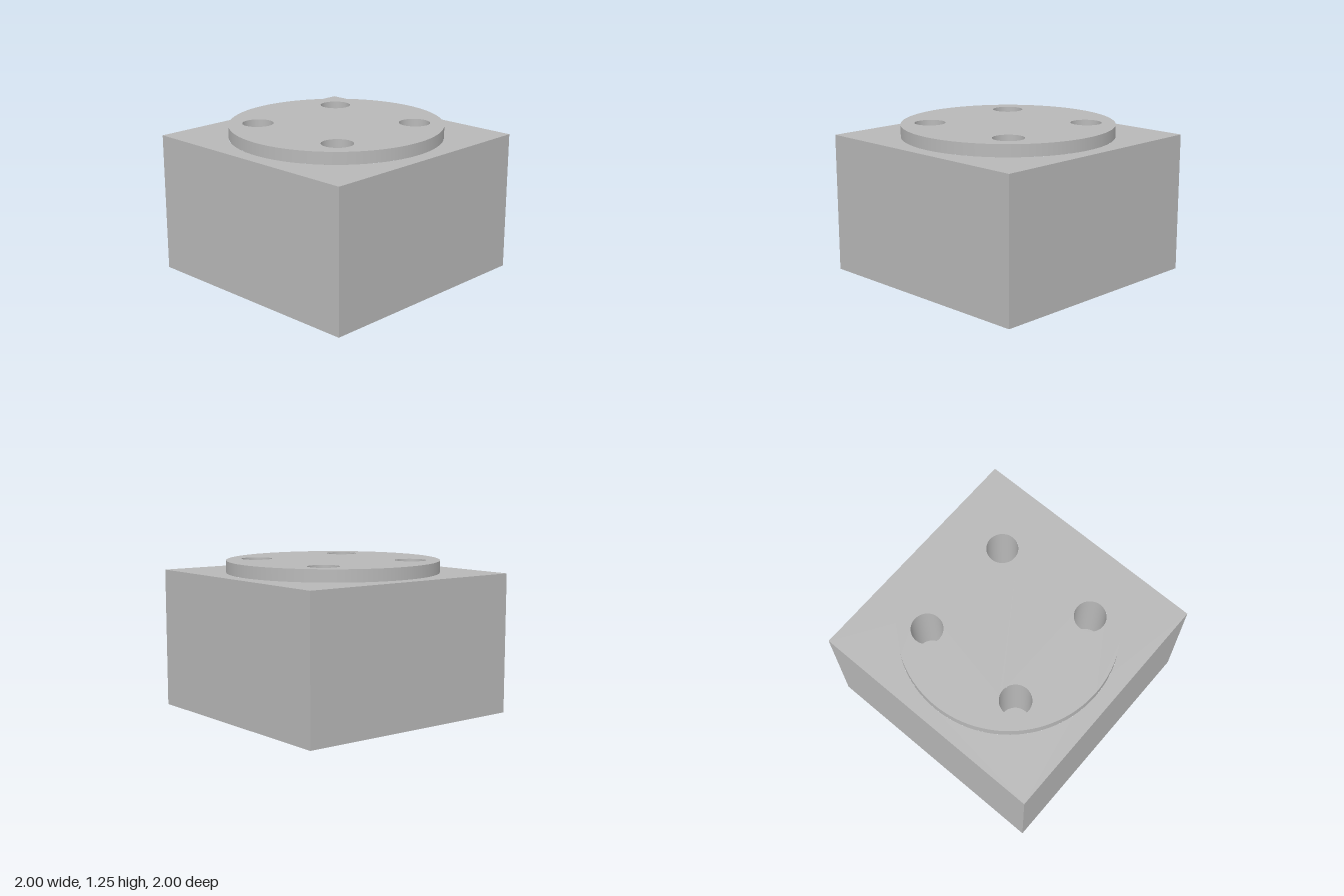
import * as THREE from 'three';

const BLOCK_TOP = 1.15, PLATE_TOP = 1.25, HOLE_FLOOR = 0.65;
const PLATE_R = 0.875, HOLE_R = 0.1275, HOLE_OFFSET = 0.45;

const steel = new THREE.MeshStandardMaterial({ color: 0xb8b8b8 });
steel.name = 'plain grey';

function addMesh(parent, name, geometry) {
  const mesh = new THREE.Mesh(geometry, steel);
  mesh.name = name;
  parent.add(mesh);
  return mesh;
}

// Surface of revolution from one straight profile line (upwards faces out, downwards faces in)
function revolve(r0, y0, r1, y1, sides) {
  return new THREE.LatheGeometry([new THREE.Vector2(r0, y0), new THREE.Vector2(r1, y1)], sides);
}

function circlePath(x, y, r) {
  return new THREE.Path().absarc(x, y, r, 0, Math.PI * 2, true);
}

// Flat shape laid horizontally, facing up
function flat(shape, y, segments) {
  return new THREE.ShapeGeometry(shape, segments).rotateX(-Math.PI / 2).translate(0, y, 0);
}

export function createModel() {
  const model = new THREE.Group();
  model.name = 'drilledBlock';

  // Block sides and underside: a box without its top face (indices 12 to 17)
  const box = new THREE.BoxGeometry(2, BLOCK_TOP, 2).translate(0, BLOCK_TOP / 2, 0);
  box.setIndex([...box.index.array].filter((_, i) => i < 12 || i > 17));
  box.clearGroups();
  addMesh(model, 'blockSides', box);

  // Block top around the raised disc
  const square = new THREE.Shape([
    new THREE.Vector2(-1, -1), new THREE.Vector2(1, -1),
    new THREE.Vector2(1, 1), new THREE.Vector2(-1, 1),
  ]);
  square.holes.push(circlePath(0, 0, PLATE_R));
  addMesh(model, 'blockTop', flat(square, BLOCK_TOP, 96));

  // Raised disc with four holes
  const disc = new THREE.Shape();
  disc.absarc(0, 0, PLATE_R, 0, Math.PI * 2, false);
  addMesh(model, 'discRim', revolve(PLATE_R, BLOCK_TOP, PLATE_R, PLATE_TOP, 96));

  // Blind holes running down into the block
  for (const sx of [-1, 1]) {
    for (const sz of [-1, 1]) {
      const x = sx * HOLE_OFFSET, z = sz * HOLE_OFFSET;
      disc.holes.push(circlePath(x, -z, HOLE_R));
      const hole = new THREE.Group();
      hole.name = 'boltHole';
      hole.position.set(x, 0, z);
      addMesh(hole, 'holeWall', revolve(HOLE_R, PLATE_TOP, HOLE_R, HOLE_FLOOR, 96));
      addMesh(hole, 'holeFloor', revolve(HOLE_R, HOLE_FLOOR, 0, HOLE_FLOOR, 96));
      model.add(hole);
    }
  }
  addMesh(model, 'discTop', flat(disc, PLATE_TOP, 96));

  return model;
}
